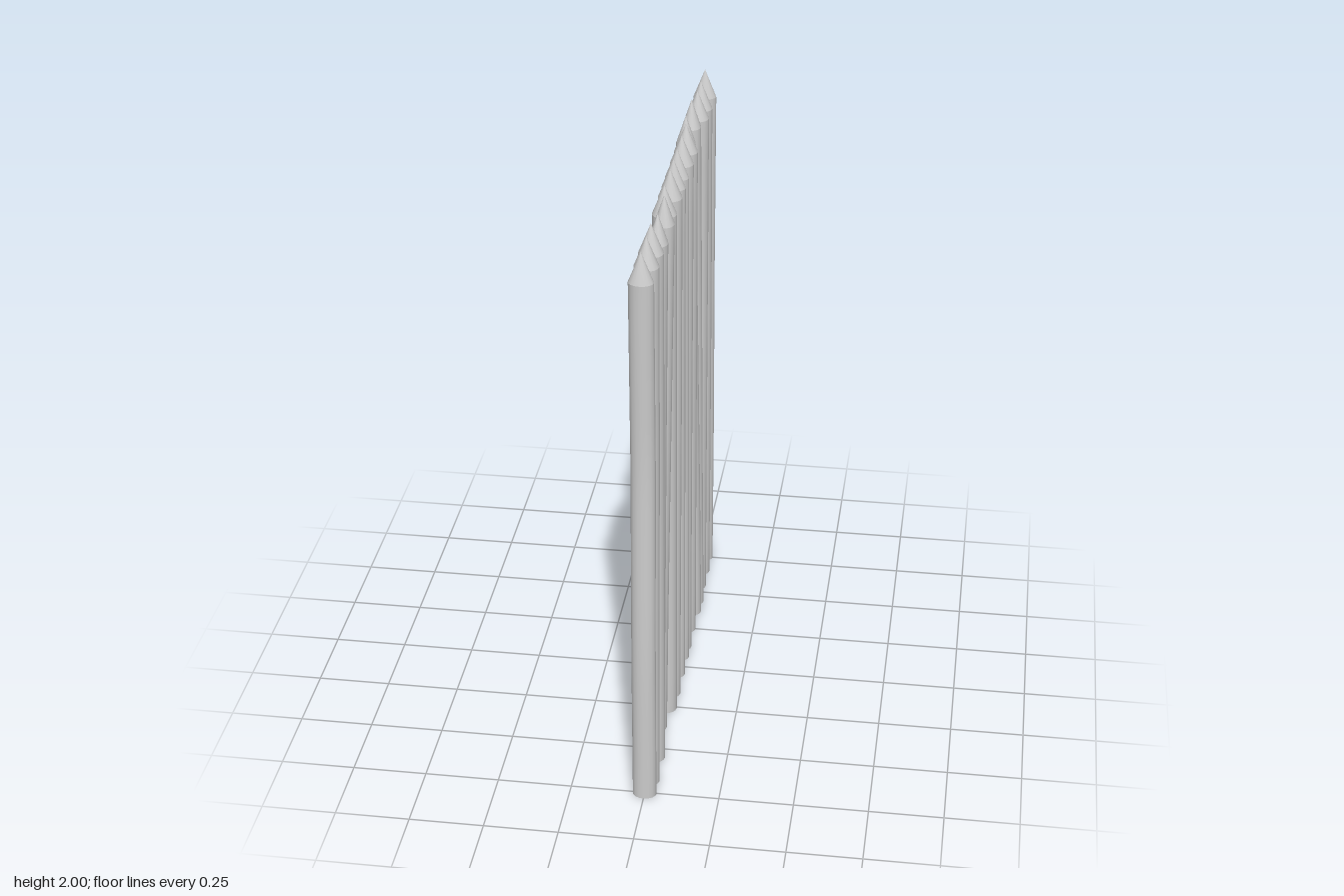
import * as THREE from 'three';
import { toCreasedNormals } from 'three/addons/utils/BufferGeometryUtils.js';

const SHOULDER = 1.9, TOP = 2, RX = 0.04;
const LEVELS = [0, 0.55, 1.25, SHOULDER];

// each stake: z centre at the four levels, half width in z, x lean (base, tip)
const STAKES = [
  { z: [0.753, 0.757, 0.736, 0.753], rz: 0.031 },
  { z: [0.679, 0.67, 0.648, 0.642], rz: 0.038 },
  { z: [0.546, 0.546, 0.546, 0.546], rz: 0.038 },
  { z: [0.435, 0.443, 0.462, 0.472], rz: 0.037, lean: [-0.012, 0.01] },
  { z: [0.371, 0.365, 0.345, 0.329], rz: 0.036, lean: [-0.012, 0.01] },
  { z: [0.255, 0.255, 0.255, 0.255], rz: 0.038 },
  { z: [0.164, 0.152, 0.133, 0.127], rz: 0.038 },
  { z: [0.045, 0.044, 0.05, 0.048], rz: 0.031 },
  { z: [-0.064, -0.06, -0.048, -0.035], rz: 0.031 },
  { z: [-0.133, -0.13, -0.138, -0.149], rz: 0.038 },
  { z: [-0.252, -0.252, -0.252, -0.252], rz: 0.038 },
  { z: [-0.371, -0.366, -0.345, -0.324], rz: 0.036, lean: [0.012, -0.01] },
  { z: [-0.44, -0.443, -0.459, -0.467], rz: 0.037, lean: [0.012, -0.01] },
  { z: [-0.546, -0.546, -0.546, -0.546], rz: 0.038 },
  { z: [-0.65, -0.658, -0.655, -0.637], rz: 0.037 },
  { z: [-0.75, -0.757, -0.742, -0.748], rz: 0.031 },
];

// piecewise-linear position along the wobbling axis
function along(values, y) {
  const i = y < LEVELS[1] ? 0 : y < LEVELS[2] ? 1 : 2;
  const t = Math.min(1, (y - LEVELS[i]) / (LEVELS[i + 1] - LEVELS[i]));
  return THREE.MathUtils.lerp(values[i], values[i + 1], t);
}

// squash a unit-radius round geometry and bend it along the stake axis
function bend(geometry, { z, rz, lean = [0, 0] }) {
  const p = geometry.attributes.position;
  const rx = RX - Math.abs(lean[1]) * 0.7;
  for (let i = 0; i < p.count; i++) {
    const y = p.getY(i);
    const x = THREE.MathUtils.lerp(lean[0], lean[1], Math.min(1, y / SHOULDER));
    p.setXYZ(i, x + p.getX(i) * rx, y, along(z, y) + p.getZ(i) * rz);
  }
  return toCreasedNormals(geometry, 0.9);
}

export function createModel() {
  const model = new THREE.Group();
  model.name = 'palisade';
  const material = new THREE.MeshStandardMaterial({ color: 0xcccccc });

  STAKES.forEach((spec, i) => {
    const stake = new THREE.Group();
    stake.name = `stake${i + 1}`;

    // round pole with a closed foot
    const pole = new THREE.CylinderGeometry(1, 1, SHOULDER, 16, 12);
    pole.translate(0, SHOULDER / 2, 0);
    const poleMesh = new THREE.Mesh(bend(pole, spec), material);
    poleMesh.name = 'pole';

    // sharpened tip
    const tip = new THREE.ConeGeometry(1, TOP - SHOULDER, 16, 1, true);
    tip.translate(0, (TOP + SHOULDER) / 2, 0);
    const tipMesh = new THREE.Mesh(bend(tip, spec), material);
    tipMesh.name = 'tip';

    stake.add(poleMesh, tipMesh);
    model.add(stake);
  });
  return model;
}
